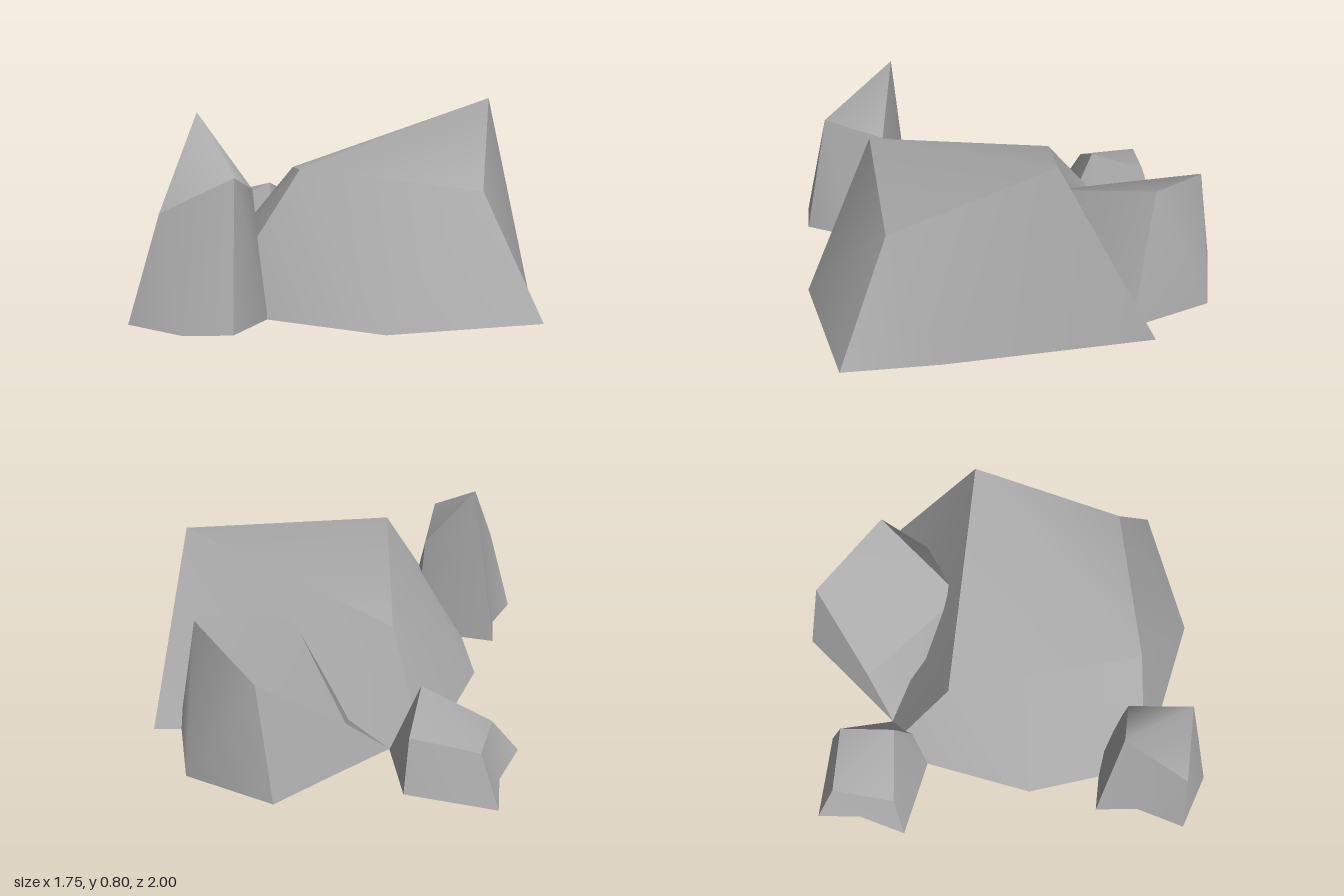
import * as THREE from 'three';

// Each rock: four top corners [x, y, z] and eight ground points [x, z]
// (corner, mid-side, corner, ...), both running back-left, front-left,
// front-right, back-right.
const ROCKS = {
  mainBoulder: {
    top: [[-0.285, 0.44, -0.245], [-0.11, 0.585, 0.615], [0.63, 0.49, 0.505], [0.665, 0.8, -0.183]],
    base: [[-0.485, -0.57], [-0.635, 0.155], [-0.475, 0.71], [0.265, 0.905],
      [0.875, 0.705], [0.845, 0.29], [0.725, -0.615], [0.1, -0.48]],
  },
  rearBoulder: {
    top: [[-0.16, 0.19, -0.66], [0.185, 0.445, -0.23], [0.49, 0.585, -0.62], [0.15, 0.49, -0.9]],
    base: [[-0.33, -0.54], [-0.115, -0.345], [0.2, -0.05], [0.53, -0.28],
      [0.63, -0.53], [0.47, -0.9], [0.065, -1], [-0.13, -0.77]],
  },
  pointedRock: {
    top: [[-0.555, 0.8, 0.525], [-0.63, 0.44, 0.845], [-0.328, 0.587, 0.845], [-0.317, 0.49, 0.57]],
    base: [[-0.7, 0.48], [-0.685, 0.68], [-0.755, 0.9], [-0.51, 1],
      [-0.315, 0.975], [-0.22, 0.77], [-0.29, 0.555], [-0.42, 0.495]],
  },
  smallRock: {
    top: [[-0.73, 0.2, -0.76], [-0.755, 0.163, -0.475], [-0.45, 0.31, -0.49], [-0.44, 0.227, -0.755]],
    base: [[-0.82, -0.85], [-0.81, -0.65], [-0.875, -0.43], [-0.53, -0.35],
      [-0.4, -0.36], [-0.33, -0.545], [-0.435, -0.83], [-0.63, -0.84]],
  },
};

// Panels share vertices inside themselves only, so they shade softly
// while the edges between them stay sharp.
function rockGeometry({ top, base }) {
  const positions = [];
  const index = [];
  const addPanel = (points, triangles) => {
    const start = positions.length / 3;
    positions.push(...points.flat());
    index.push(...triangles.map((i) => start + i));
  };
  const ground = base.map(([x, z]) => [x, 0, z]);

  // four sloping sides
  for (let i = 0; i < 4; i++) {
    addPanel(
      [ground[2 * i], ground[2 * i + 1], ground[(2 * i + 2) % 8], top[i], top[(i + 1) % 4]],
      [0, 1, 3, 1, 2, 4, 1, 4, 3],
    );
  }

  // tilted cap, folded along its higher diagonal
  const ridge02 = top[0][1] + top[2][1] > top[1][1] + top[3][1];
  addPanel(top, ridge02 ? [0, 1, 2, 0, 2, 3] : [0, 1, 3, 1, 2, 3]);

  const geometry = new THREE.BufferGeometry();
  geometry.setAttribute('position', new THREE.Float32BufferAttribute(positions, 3));
  geometry.setIndex(index);
  geometry.computeVertexNormals();
  return geometry;
}

export function createModel() {
  const group = new THREE.Group();
  group.name = 'rockCluster';

  // open underneath, so both sides are drawn
  const stone = new THREE.MeshStandardMaterial({ color: 0xaaaaaa, side: THREE.DoubleSide });
  stone.name = 'greyStone';

  for (const [name, rock] of Object.entries(ROCKS)) {
    const mesh = new THREE.Mesh(rockGeometry(rock), stone);
    mesh.name = name;
    group.add(mesh);
  }
  return group;
}
